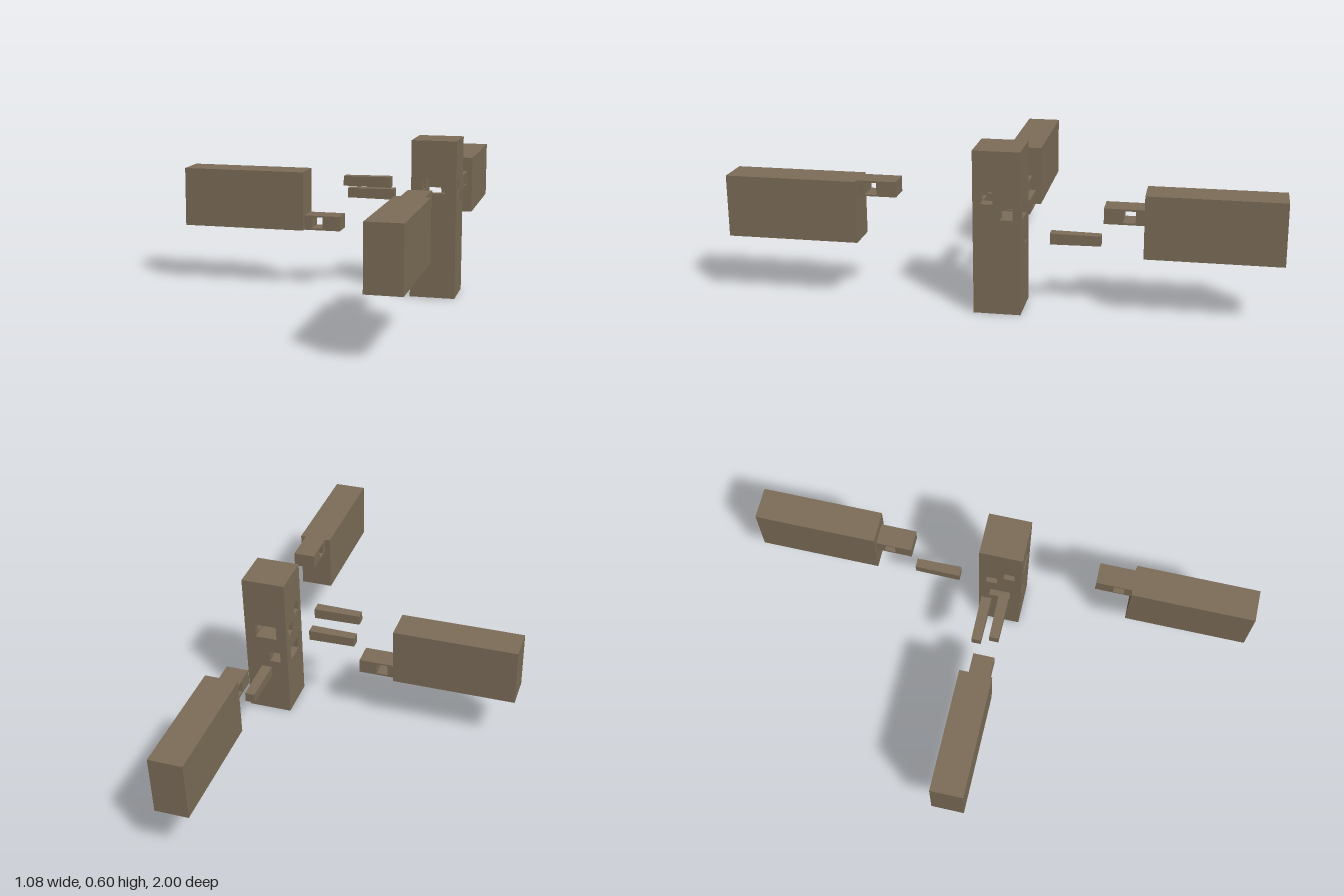
import * as THREE from 'three';

// Boxes are written [x0, x1, y0, y1, z0, z1].
const inside = (p, b) => [0, 1, 2].every((i) => p[i] > b[2 * i] && p[i] < b[2 * i + 1]);

// Joinery solid: union of solid boxes minus cavity boxes, keeping only exposed faces.
function carve(solids, cavities = []) {
  const all = [...solids, ...cavities];
  const cuts = [0, 1, 2].map((i) =>
    [...new Set(all.flatMap((b) => [b[2 * i], b[2 * i + 1]]))].sort((a, b) => a - b));
  const filled = (c) => {
    if (c.some((v, i) => v < 0 || v >= cuts[i].length - 1)) return false;
    const mid = c.map((v, i) => (cuts[i][v] + cuts[i][v + 1]) / 2);
    return solids.some((b) => inside(mid, b)) && !cavities.some((b) => inside(mid, b));
  };
  const pos = [];
  for (let x = 0; x < cuts[0].length - 1; x++)
    for (let y = 0; y < cuts[1].length - 1; y++)
      for (let z = 0; z < cuts[2].length - 1; z++) {
        const cell = [x, y, z];
        if (!filled(cell)) continue;
        for (let a = 0; a < 3; a++)
          for (const s of [0, 1]) {
            const next = [...cell];
            next[a] += s ? 1 : -1;
            if (filled(next)) continue;
            const u = (a + 1) % 3, v = (a + 2) % 3;
            const q = [[0, 0], [1, 0], [1, 1], [0, 1]].map(([du, dv]) => {
              const p = [];
              p[a] = cuts[a][cell[a] + s];
              p[u] = cuts[u][cell[u] + du];
              p[v] = cuts[v][cell[v] + dv];
              return p;
            });
            const order = s ? [0, 1, 2, 0, 2, 3] : [0, 2, 1, 0, 3, 2];
            order.forEach((k) => pos.push(...q[k]));
          }
      }
  const g = new THREE.BufferGeometry();
  g.setAttribute('position', new THREE.Float32BufferAttribute(pos, 3));
  g.computeVertexNormals();
  return g;
}

// Slightly tapered square peg along x, thicker towards +x.
function pegGeometry(length = 0.183, thin = 0.037, thick = 0.041) {
  const g = new THREE.BoxGeometry(length, 1, 1);
  const p = g.attributes.position;
  for (let i = 0; i < p.count; i++) {
    const w = p.getX(i) > 0 ? thick : thin;
    p.setY(i, p.getY(i) * w);
    p.setZ(i, p.getZ(i) * w);
  }
  const flat = g.toNonIndexed();
  flat.computeVertexNormals();
  return flat;
}

export function createModel() {
  const group = new THREE.Group();
  const wood = new THREE.MeshStandardMaterial({ color: 0x7d6e59 });
  wood.name = 'wood';
  const add = (name, geometry) => {
    const m = new THREE.Mesh(geometry, wood);
    m.name = name;
    group.add(m);
    return m;
  };

  // Upright post with three blind mortises and three through peg holes
  add('post', carve([[0.37, 0.541, 0, 0.6, -0.085, 0.085]], [
    [0.412, 0.498, 0.402, 0.459, -0.06, 0.085],
    [0.412, 0.498, 0.345, 0.402, -0.085, 0.06],
    [0.37, 0.515, 0.23, 0.287, -0.043, 0.043],
    [0.37, 0.541, 0.408, 0.453, 0.013, 0.057],
    [0.37, 0.541, 0.352, 0.396, -0.057, -0.013],
    [0.4, 0.444, 0.237, 0.281, -0.085, 0.085],
  ]));

  // Beams, each with a tenon pierced for its peg
  add('sideBeam', carve(
    [[-0.541, -0.058, 0.23, 0.459, -0.064, 0.064], [-0.058, 0.084, 0.23, 0.287, -0.043, 0.043]],
    [[-0.03, 0.014, 0.237, 0.281, -0.043, 0.043]]));
  add('frontBeam', carve(
    [[0.391, 0.519, 0.23, 0.459, 0.515, 1], [0.412, 0.498, 0.402, 0.459, 0.372, 0.515]],
    [[0.412, 0.498, 0.408, 0.452, 0.444, 0.487]]));
  add('backBeam', carve(
    [[0.391, 0.519, 0.23, 0.459, -1, -0.515], [0.412, 0.498, 0.345, 0.402, -0.515, -0.372]],
    [[0.412, 0.498, 0.352, 0.395, -0.483, -0.439]]));

  // Loose pegs
  const peg = pegGeometry();
  add('upperPeg', peg).position.set(0.193, 0.431, 0.034);
  add('lowerPeg', peg).position.set(0.193, 0.374, -0.036);
  const backPeg = add('backPeg', peg);
  backPeg.position.set(0.421, 0.259, -0.266);
  backPeg.rotation.y = -Math.PI / 2;

  return group;
}
